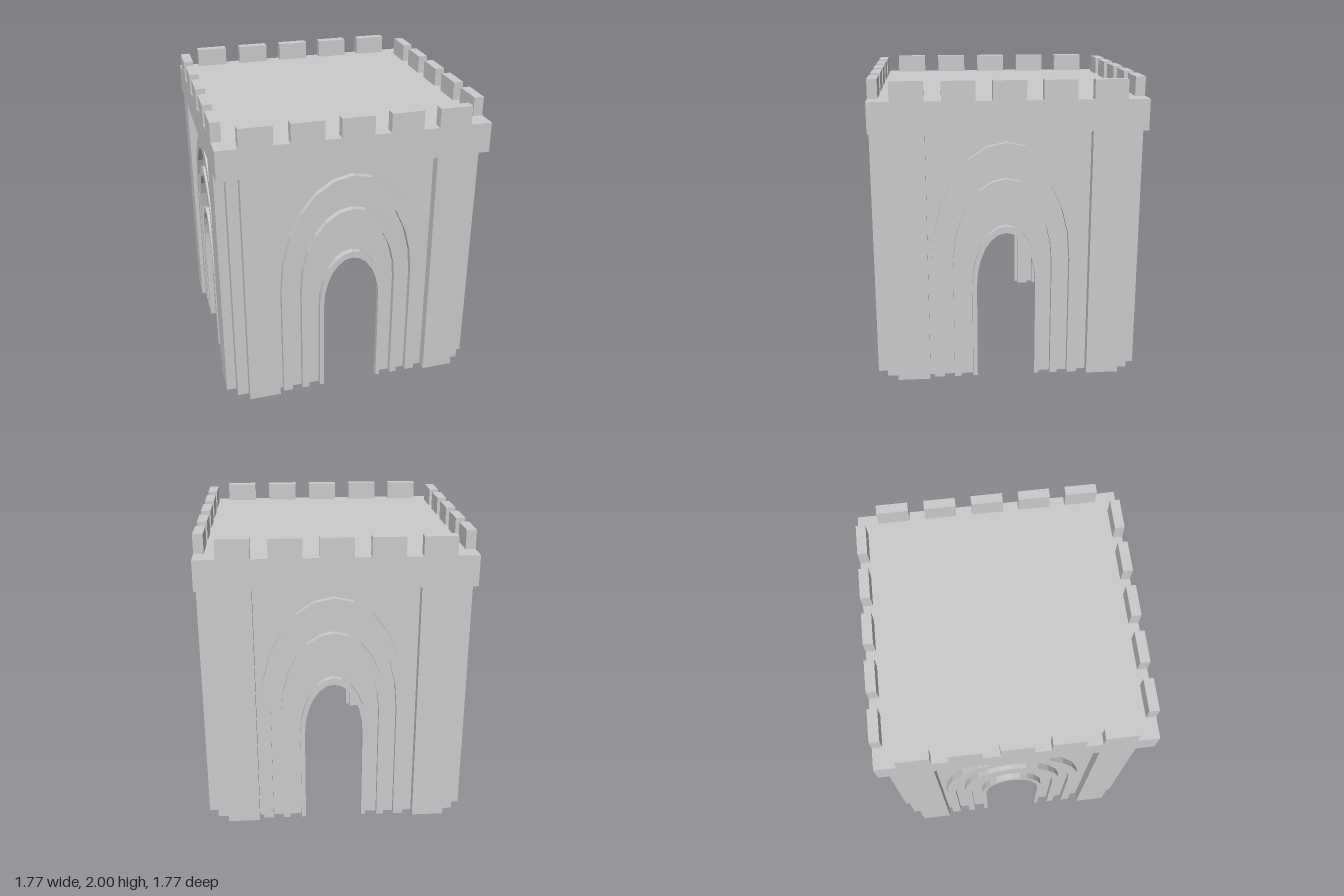
import * as THREE from 'three';

const FACE = 0.885, WALL = 0.82, RING = 0.86;   // distances of the surfaces from the centre
const CORNICE_Y = 1.675, ROOF_Y = 1.875, TOP_Y = 2;
const PANEL_X = 0.53, PILASTER_X = 0.745, ARCH_X = -0.018;

const material = new THREE.MeshStandardMaterial({
  color: 0xcccccc, flatShading: true, side: THREE.DoubleSide,
});

function add(parent, name, geometry) {
  const mesh = new THREE.Mesh(geometry, material);
  mesh.name = name;
  parent.add(mesh);
  return mesh;
}

// Strip of flat quads between two point rows of equal length
function ribbon(a, b) {
  const pos = [];
  for (let i = 0; i < a.length - 1; i++) {
    for (const p of [a[i], a[i + 1], b[i + 1], a[i], b[i + 1], b[i]]) pos.push(p.x, p.y, p.z);
  }
  const g = new THREE.BufferGeometry();
  g.setAttribute('position', new THREE.Float32BufferAttribute(pos, 3));
  g.computeVertexNormals();
  return g;
}

// Arch outline from left foot over the crown to right foot
function archLine({ half, spring, crown }, z) {
  const points = [new THREE.Vector3(ARCH_X - half, 0, z)];
  const n = 12;
  for (let i = 0; i <= n; i++) {
    const t = Math.PI * (1 - i / n);
    points.push(new THREE.Vector3(
      ARCH_X + half * Math.cos(t), spring + (crown - spring) * Math.sin(t), z));
  }
  points.push(new THREE.Vector3(ARCH_X + half, 0, z));
  return points;
}

// Concentric arches, outermost first; each pair bounds one raised moulding
const ARCHES = [
  { half: 0.482, spring: 0.82, crown: 1.605 },
  { half: 0.417, spring: 0.82, crown: 1.515 },
  { half: 0.347, spring: 0.80, crown: 1.37 },
  { half: 0.300, spring: 0.80, crown: 1.305 },
  { half: 0.222, spring: 0.65, crown: 1.055 },
  { half: 0.193, spring: 0.65, crown: 1.01 },
];

function createWall() {
  const wall = new THREE.Group();

  // Recessed panel around the outer arch
  const panel = new THREE.Shape();
  panel.moveTo(-PANEL_X, 0);
  for (const p of archLine(ARCHES[0], 0)) panel.lineTo(p.x, p.y);
  panel.lineTo(PANEL_X, 0);
  panel.lineTo(PANEL_X, CORNICE_Y);
  panel.lineTo(-PANEL_X, CORNICE_Y);
  add(wall, 'archPanel', new THREE.ShapeGeometry(panel)).position.z = WALL;

  // Raised arch mouldings with the flat bands between them
  for (let i = 0; i < ARCHES.length; i += 2) {
    const outer = ARCHES[i], inner = ARCHES[i + 1], next = ARCHES[i + 2];
    const moulding = new THREE.Group();
    moulding.name = 'archMoulding';
    wall.add(moulding);
    add(moulding, 'mouldingOuterSide', ribbon(archLine(outer, RING), archLine(outer, WALL)));
    add(moulding, 'mouldingFace', ribbon(archLine(inner, RING), archLine(outer, RING)));
    add(moulding, 'mouldingInnerSide', ribbon(archLine(inner, WALL), archLine(inner, RING)));
    if (next) add(wall, 'archBand', ribbon(archLine(next, WALL), archLine(inner, WALL)));
  }

  // Pilasters and the set-back corner strips beside them
  const plan = [[-WALL, WALL], [-PILASTER_X, WALL], [-PILASTER_X, FACE],
    [-PANEL_X, FACE], [-PANEL_X, WALL]];
  const mirrored = plan.map(([x, z]) => [-x, z]).reverse();
  for (const [name, path] of [['rightPilaster', plan], ['leftPilaster', mirrored]]) {
    const row = (y) => path.map(([x, z]) => new THREE.Vector3(x, y, z));
    add(wall, name, ribbon(row(0), row(CORNICE_Y)));
  }

  // Merlons along the roof edge
  for (let i = -2; i <= 2; i++) {
    const merlon = add(wall, 'merlon',
      new THREE.BoxGeometry(0.212, TOP_Y - ROOF_Y, FACE - WALL));
    merlon.position.set(i * 0.319, (TOP_Y + ROOF_Y) / 2, (FACE + WALL) / 2);
  }
  return wall;
}

export function createModel() {
  const model = new THREE.Group();
  model.name = 'castleGateTower';

  // Overhanging cornice with the flat roof
  add(model, 'corniceAndRoof', new THREE.BoxGeometry(FACE * 2, ROOF_Y - CORNICE_Y, FACE * 2))
    .position.y = (ROOF_Y + CORNICE_Y) / 2;

  // The same wall on all four sides
  ['frontWall', 'leftWall', 'backWall', 'rightWall'].forEach((name, i) => {
    const wall = createWall();
    wall.name = name;
    wall.rotation.y = i * Math.PI / 2;
    model.add(wall);
  });
  return model;
}
